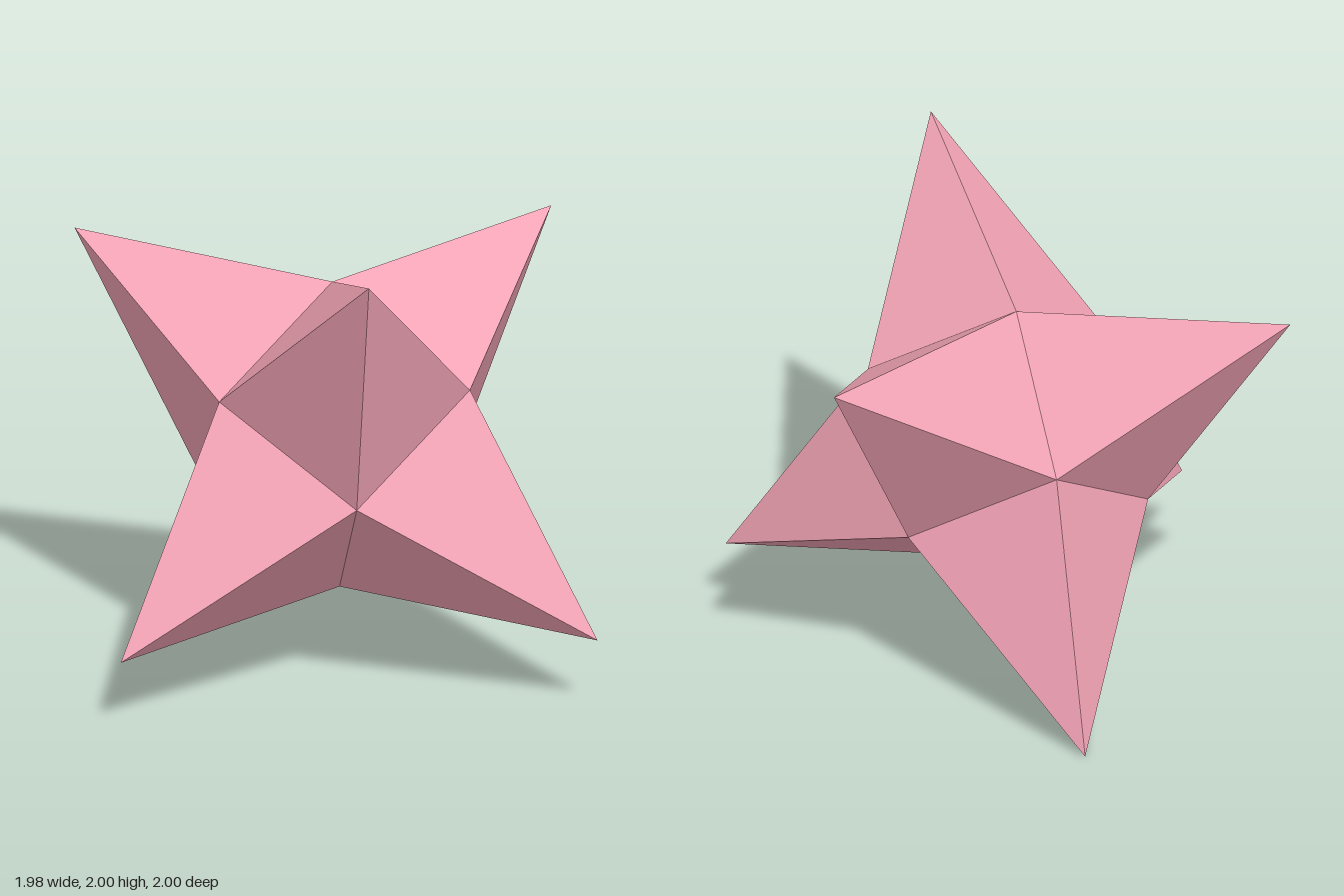
import * as THREE from 'three';

const INNER = 0.369; // half-size of the core cube on which the spikes stand

export function createModel() {
  const star = new THREE.Group();
  star.name = 'spikedStar';
  const material = new THREE.MeshStandardMaterial({ color: 0xf2a3b5, flatShading: true });

  // Three perpendicular axes of the tilted star, right-handed
  const h = Math.SQRT1_2;
  const axes = [
    new THREE.Vector3(0, h, h),
    new THREE.Vector3(h, 0.5, -0.5),
    new THREE.Vector3(-h, 0.5, -0.5),
  ];
  const tipDistance = [1.414, 1.403, 1.403];
  const names = ['UpperFront', 'UpperLeft', 'UpperRight'];
  const opposite = ['LowerBack', 'LowerRight', 'LowerLeft'];

  // A four-sided pyramid on each face of the core, pointing both ways along each axis
  axes.forEach((axis, i) => {
    const height = tipDistance[i] - INNER;
    const geometry = new THREE.ConeGeometry(INNER * Math.SQRT2, height, 4, 1, true, Math.PI / 4);
    geometry.translate(0, INNER + height / 2, 0);
    for (const sign of [1, -1]) {
      const spike = new THREE.Mesh(geometry, material);
      spike.name = 'spike' + (sign > 0 ? names[i] : opposite[i]);
      const basis = new THREE.Matrix4().makeBasis(
        axes[(i + 2) % 3],
        axis.clone().multiplyScalar(sign),
        axes[(i + 1) % 3].clone().multiplyScalar(sign),
      );
      spike.quaternion.setFromRotationMatrix(basis);
      spike.position.y = 1;
      star.add(spike);
    }
  });
  return star;
}
